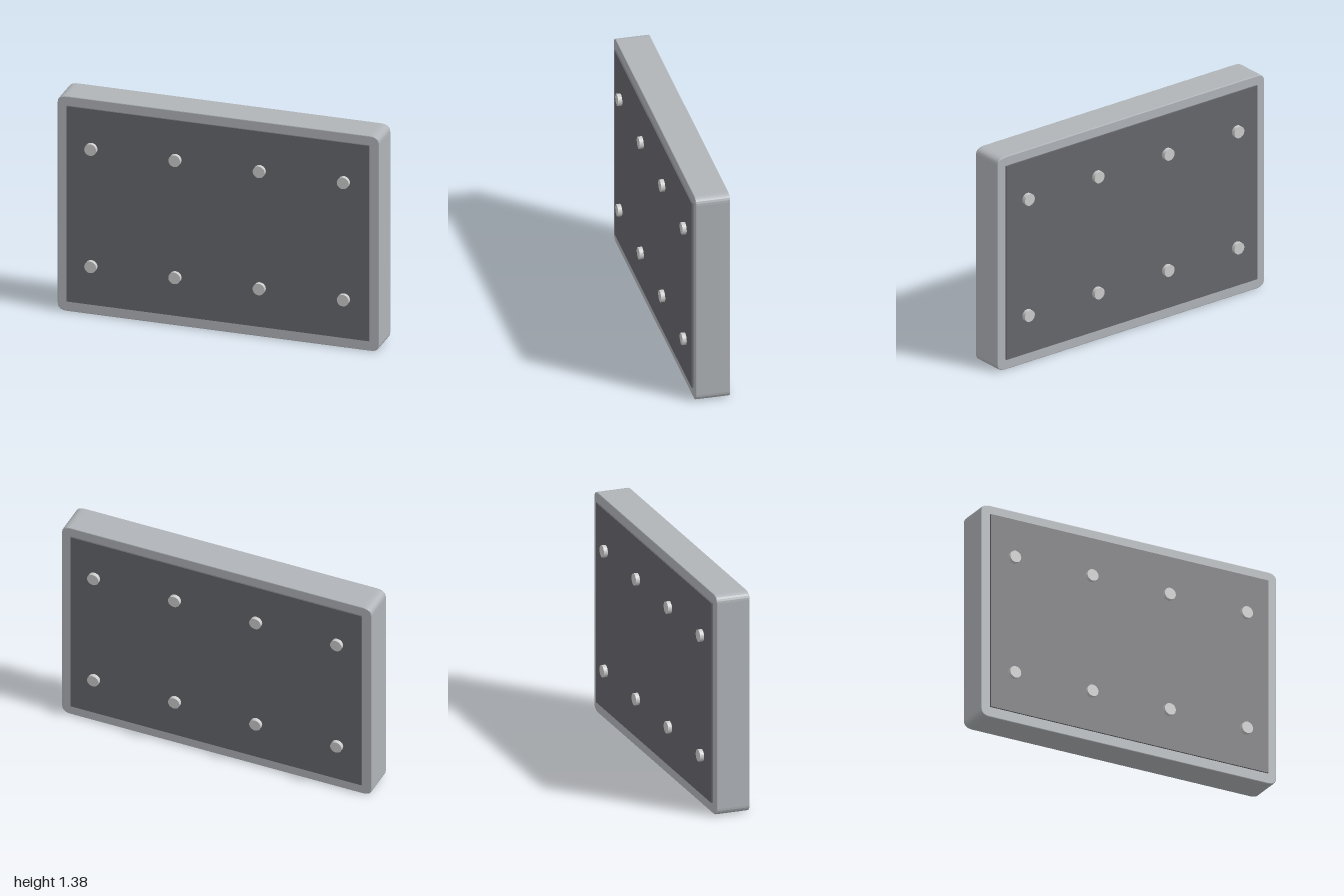
import * as THREE from 'three';

const W = 2, H = 1.375, CY = H / 2;

// Outline with small rounded corners, inset by d
function slabShape(d) {
  const x = W / 2 - d, y = H / 2 - d, rx = 0.055, ry = 0.04;
  const s = new THREE.Shape();
  s.moveTo(-x + rx, -y);
  s.lineTo(x - rx, -y);
  s.quadraticCurveTo(x, -y, x, -y + ry);
  s.lineTo(x, y - ry);
  s.quadraticCurveTo(x, y, x - rx, y);
  s.lineTo(-x + rx, y);
  s.quadraticCurveTo(-x, y, -x, y - ry);
  s.lineTo(-x, -y + ry);
  s.quadraticCurveTo(-x, -y, -x + rx, -y);
  return s;
}

export function createModel() {
  const group = new THREE.Group();
  const frameMat = new THREE.MeshStandardMaterial({ color: 0xb0b4b8 });
  const panelMat = new THREE.MeshStandardMaterial({ color: 0x66676c });
  const boltMat = new THREE.MeshStandardMaterial({ color: 0xcccccc });

  const add = (name, geometry, material, x, y, z) => {
    const mesh = new THREE.Mesh(geometry, material);
    mesh.name = name;
    mesh.position.set(x, y, z);
    group.add(mesh);
    return mesh;
  };

  // Thick outer slab with a fine bevel on both faces
  const bevel = 0.005, depth = 0.21;
  const slab = new THREE.ExtrudeGeometry(slabShape(bevel), {
    depth: depth - 2 * bevel, curveSegments: 6,
    bevelEnabled: true, bevelSize: bevel, bevelThickness: bevel, bevelSegments: 2,
  });
  slab.translate(0, 0, -depth / 2 + bevel);
  add('frame', slab, frameMat, 0, CY, 0);

  // Dark panel plates and bolt heads, same on front and back
  const plate = new THREE.BoxGeometry(1.88, 1.25, 0.03);
  const bolt = new THREE.CylinderGeometry(0.037, 0.037, 0.04, 24);
  bolt.rotateX(Math.PI / 2);
  for (const side of [1, -1]) {
    const label = side > 0 ? 'front' : 'back';
    add(label + 'Panel', plate, panelMat, 0, CY + 0.003, side * 0.1);
    for (const x of [-0.785, -0.262, 0.262, 0.785])
      for (const y of [0.315, 1.065])
        add(label + 'Bolt', bolt, boltMat, x, y, side * 0.12);
  }
  return group;
}
